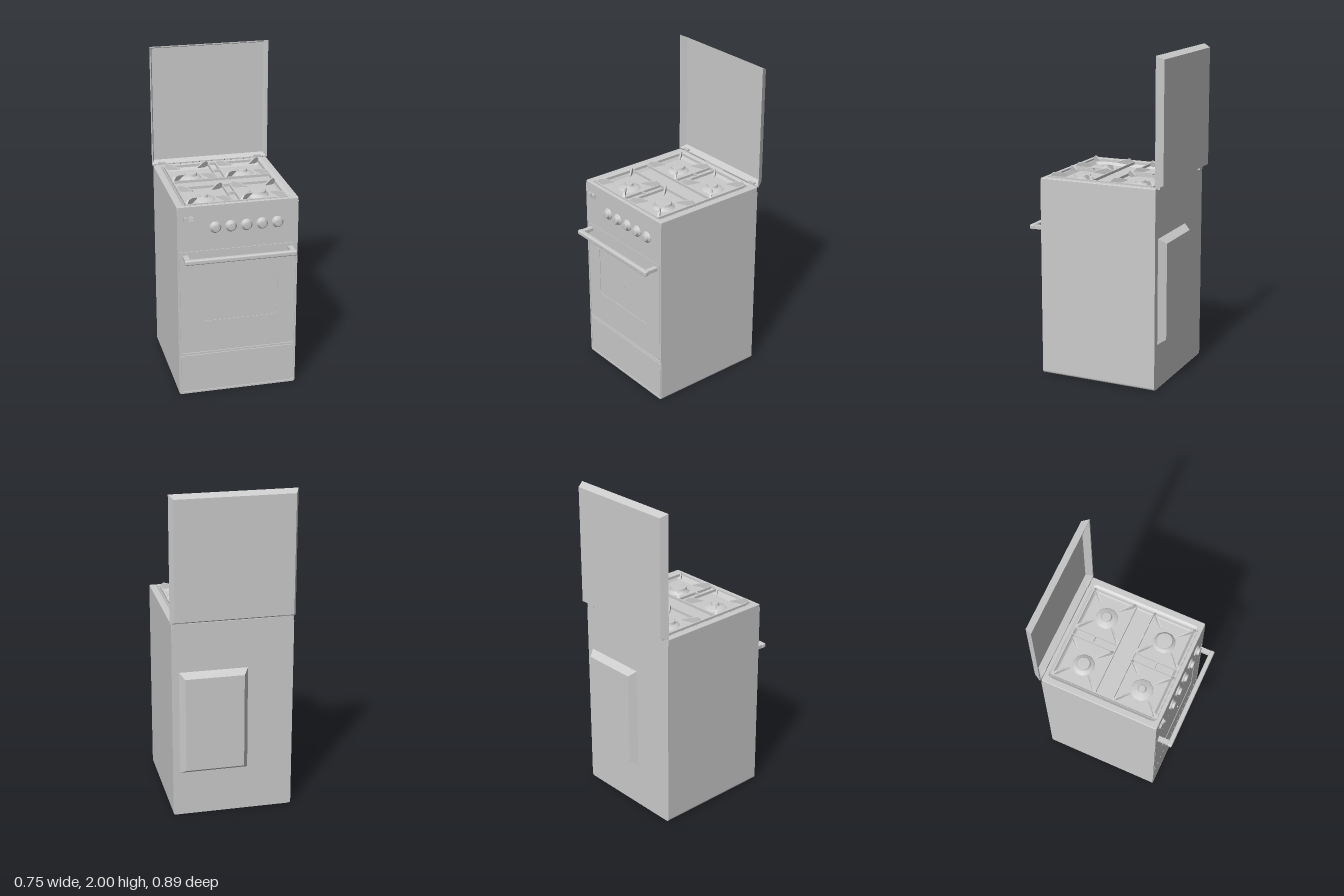
import * as THREE from 'three';
import { RoundedBoxGeometry } from 'three/addons/geometries/RoundedBoxGeometry.js';

const grey = new THREE.MeshStandardMaterial({ color: 0xcccccc });
const sheet = new THREE.MeshStandardMaterial({ color: 0xcccccc, side: THREE.DoubleSide });

function add(parent, name, geometry, x = 0, y = 0, z = 0, material = grey) {
  const mesh = new THREE.Mesh(geometry, material);
  mesh.name = name;
  mesh.position.set(x, y, z);
  parent.add(mesh);
  return mesh;
}

// Box given by its limits
function block(parent, name, x0, x1, y0, y1, z0, z1) {
  return add(parent, name, new THREE.BoxGeometry(x1 - x0, y1 - y0, z1 - z0),
    (x0 + x1) / 2, (y0 + y1) / 2, (z0 + z1) / 2);
}

// Rectangle with separate radii for the lower and upper corners
function rect(x0, x1, y0, y1, low, high = low, Type = THREE.Shape) {
  const s = new Type();
  s.moveTo(x0 + low, y0);
  s.lineTo(x1 - low, y0);
  if (low) s.quadraticCurveTo(x1, y0, x1, y0 + low);
  s.lineTo(x1, y1 - high);
  if (high) s.quadraticCurveTo(x1, y1, x1 - high, y1);
  s.lineTo(x0 + high, y1);
  if (high) s.quadraticCurveTo(x0, y1, x0, y1 - high);
  s.lineTo(x0, y0 + low);
  if (low) s.quadraticCurveTo(x0, y0, x0 + low, y0);
  return s;
}

const extrude = (shape, depth) =>
  new THREE.ExtrudeGeometry(shape, { depth, bevelEnabled: false, curveSegments: 6 });

// Tray or raised panel: rectangular rings [halfWidth, halfHeight, radius, z], last one capped
function tray(rings) {
  const loops = rings.map(([w, h, r, z]) => {
    const pts = rect(-w, w, -h, h, r).getPoints(4);
    if (pts[0].distanceTo(pts[pts.length - 1]) < 1e-6) pts.pop();
    return pts.map(p => [p.x, p.y, z]);
  });
  const out = [];
  const n = loops[0].length;
  for (let k = 0; k + 1 < loops.length; k++) {
    for (let i = 0; i < n; i++) {
      const j = (i + 1) % n, a = loops[k], b = loops[k + 1];
      out.push(...a[i], ...a[j], ...b[j], ...a[i], ...b[j], ...b[i]);
    }
  }
  const end = loops[loops.length - 1];
  for (let i = 1; i + 1 < n; i++) out.push(...end[0], ...end[i], ...end[i + 1]);
  const g = new THREE.BufferGeometry();
  g.setAttribute('position', new THREE.Float32BufferAttribute(out, 3));
  g.computeVertexNormals();
  return g;
}

function buildCabinet(root) {
  const W = 0.368;
  add(root, 'cabinet', extrude(rect(-W, W, 0, 1.2, 0.018, 0), 0.744), 0, 0, -0.4);

  // Front frame with openings for the door and the drawer
  const frame = rect(-W, W, 0, 1.215, 0.018, 0);
  frame.holes.push(rect(-0.358, 0.358, 0.276, 0.95, 0.02, 0.002, THREE.Path));
  frame.holes.push(rect(-0.358, 0.358, 0.012, 0.264, 0.025, 0.01, THREE.Path));
  add(root, 'frontFrame', extrude(frame, 0.006), 0, 0, 0.344);

  const door = rect(-0.354, 0.354, 0.281, 0.948, 0.018, 0.002);
  door.holes.push(rect(-0.245, 0.245, 0.485, 0.815, 0.03, 0.03, THREE.Path));
  add(root, 'ovenDoor', extrude(door, 0.006), 0, 0, 0.344);
  add(root, 'ovenWindow', extrude(rect(-0.245, 0.245, 0.485, 0.815, 0.03), 0.003), 0, 0, 0.344);
  add(root, 'windowStud', new THREE.CylinderGeometry(0.007, 0.007, 0.008, 12), 0, 0.65, 0.348)
    .rotation.x = Math.PI / 2;
  add(root, 'drawerFront', extrude(rect(-0.354, 0.354, 0.016, 0.26, 0.023, 0.008), 0.006), 0, 0, 0.344);

  // Raised cover on the back wall
  add(root, 'backCover', tray([[0.208, 0.325, 0, 0], [0.178, 0.295, 0, 0.045]]), 0.1175, 0.605, -0.4, sheet)
    .rotation.y = Math.PI;
}

function buildHob(root) {
  // Top plate with a rounded opening
  const plate = rect(-0.364, 0.364, -0.346, 0.396, 0.004);
  plate.holes.push(rect(-0.33, 0.33, -0.33, 0.38, 0.035, 0.035, THREE.Path));
  const g = new THREE.ExtrudeGeometry(plate, {
    depth: 0.037, bevelThickness: 0.004, bevelSize: 0.004, bevelSegments: 2, curveSegments: 6 });
  add(root, 'hobPlate', g, 0, 1.194, 0).rotation.x = -Math.PI / 2;

  // Pressed basin
  add(root, 'hobBasin', tray([
    [0.327, 0.352, 0.035, 0], [0.317, 0.342, 0.03, 0.006], [0.31, 0.335, 0.025, 0.008],
    [0.294, 0.319, 0.02, 0.031]]), 0, 1.234, -0.025, sheet).rotation.x = Math.PI / 2;

  // Four burners of different cap sizes
  for (const [x, z, r] of [[-0.167, -0.215, 0.04], [0.165, -0.215, 0.03],
    [-0.167, 0.168, 0.023], [0.165, 0.168, 0.05]]) {
    const profile = [[0.07, 0], [0.062, 0.007], [r + 0.006, 0.014], [r, 0.016], [r, 0.029], [r - 0.003, 0.031], [0, 0.031]]
      .map(p => new THREE.Vector2(...p));
    const dome = new THREE.LatheGeometry(profile.slice(0, 3), 10);
    add(root, 'burnerDome', dome, x, 1.203, z, sheet);
    add(root, 'burnerCap', new THREE.LatheGeometry(profile.slice(2), 28), x, 1.203, z, sheet);
  }
}

function buildGrates(root) {
  const grate = new THREE.Group();
  grate.name = 'panSupports';
  root.add(grate);
  const t = 0.004, y0 = 1.222, y1 = 1.238;
  const barX = (z, x0, x1) => block(grate, 'supportBar', x0, x1, y0, y1, z - t, z + t);
  const barZ = (x, z0, z1) => block(grate, 'supportBar', x - t, x + t, y0, y1, z0, z1);

  // Raised finger, seen from the side
  const finger = new THREE.Shape([[0, 1.222], [0, 1.238], [0.022, 1.258], [0.055, 1.258], [0.112, 1.244], [0.112, 1.238], [0.04, 1.222]]
    .map(p => new THREE.Vector2(...p)));
  const fingerGeometry = extrude(finger, 0.01);
  fingerGeometry.translate(0, 0, -0.005);
  // Narrow towards the burner
  const pos = fingerGeometry.attributes.position;
  for (let i = 0; i < pos.count; i++) pos.setZ(i, pos.getZ(i) * (1.3 - pos.getX(i) * 5));
  fingerGeometry.computeVertexNormals();

  for (const [z0, z1, cross] of [[-0.358, -0.076, -0.222], [0.038, 0.32, 0.182]]) {
    barX(z0, -0.308, 0.308);
    barX(z1, -0.308, 0.308);
    barX(cross, -0.024, 0.024);
    const cz = (z0 + z1) / 2;
    for (const side of [-1, 1]) {
      barZ(side * 0.024, z0, z1);
      for (const sx of [-1, 1]) for (const sz of [-1, 1]) {
        const f = add(grate, 'supportFinger', fingerGeometry, side * 0.166 + sx * 0.138, 0, cz + sz * 0.138);
        f.rotation.y = Math.atan2(sz, -sx);
      }
    }
  }
  for (const side of [-1, 1]) barZ(side * 0.304, -0.358, 0.32);
}

function buildControls(root) {
  // Oven door handle
  add(root, 'handleBar', new RoundedBoxGeometry(0.68, 0.03, 0.03, 3, 0.008), 0, 0.916, 0.43);
  for (const s of [-1, 1])
    block(root, 'handleBracket', s * 0.321 - 0.015, s * 0.321 + 0.015, 0.905, 0.927, 0.348, 0.425);

  // Row of knobs
  const profile = [[0.035, 0], [0.035, 0.007], [0.027, 0.011], [0.025, 0.013], [0.024, 0.025], [0.021, 0.028], [0, 0.028]]
    .map(p => new THREE.Vector2(...p));
  const knob = new THREE.LatheGeometry(profile, 24);
  for (let i = 0; i < 5; i++)
    add(root, 'knob', knob, -0.139 + i * 0.0945, 1.093, 0.35, sheet).rotation.x = Math.PI / 2;

  // Push button and rocker switch
  block(root, 'switchPlate', -0.33, -0.266, 1.142, 1.172, 0.349, 0.353);
  block(root, 'pushButton', -0.328, -0.306, 1.145, 1.169, 0.35, 0.362);
  const rocker = new THREE.Shape([[-0.3, 0.35], [-0.268, 0.35], [-0.275, 0.372], [-0.3, 0.36]]
    .map(([x, z]) => new THREE.Vector2(x, -z)));
  add(root, 'rockerSwitch', extrude(rocker, 0.024), 0, 1.145, 0, sheet).rotation.x = -Math.PI / 2;
}

function buildLid(root) {
  // Open lid: a shallow pan facing forward
  add(root, 'lid', tray([
    [0.368, 0.376, 0, 0], [0.376, 0.383, 0, 0], [0.355, 0.362, 0, 0.044]]), 0, 1.617, -0.4, sheet)
    .rotation.y = Math.PI;
  for (const s of [-1, 1])
    block(root, 'lidHinge', s * 0.313 - 0.022, s * 0.313 + 0.022, 1.225, 1.25, -0.415, -0.397);
}

export function createModel() {
  const root = new THREE.Group();
  root.name = 'gasCooker';
  buildCabinet(root);
  buildHob(root);
  buildGrates(root);
  buildControls(root);
  buildLid(root);
  return root;
}
